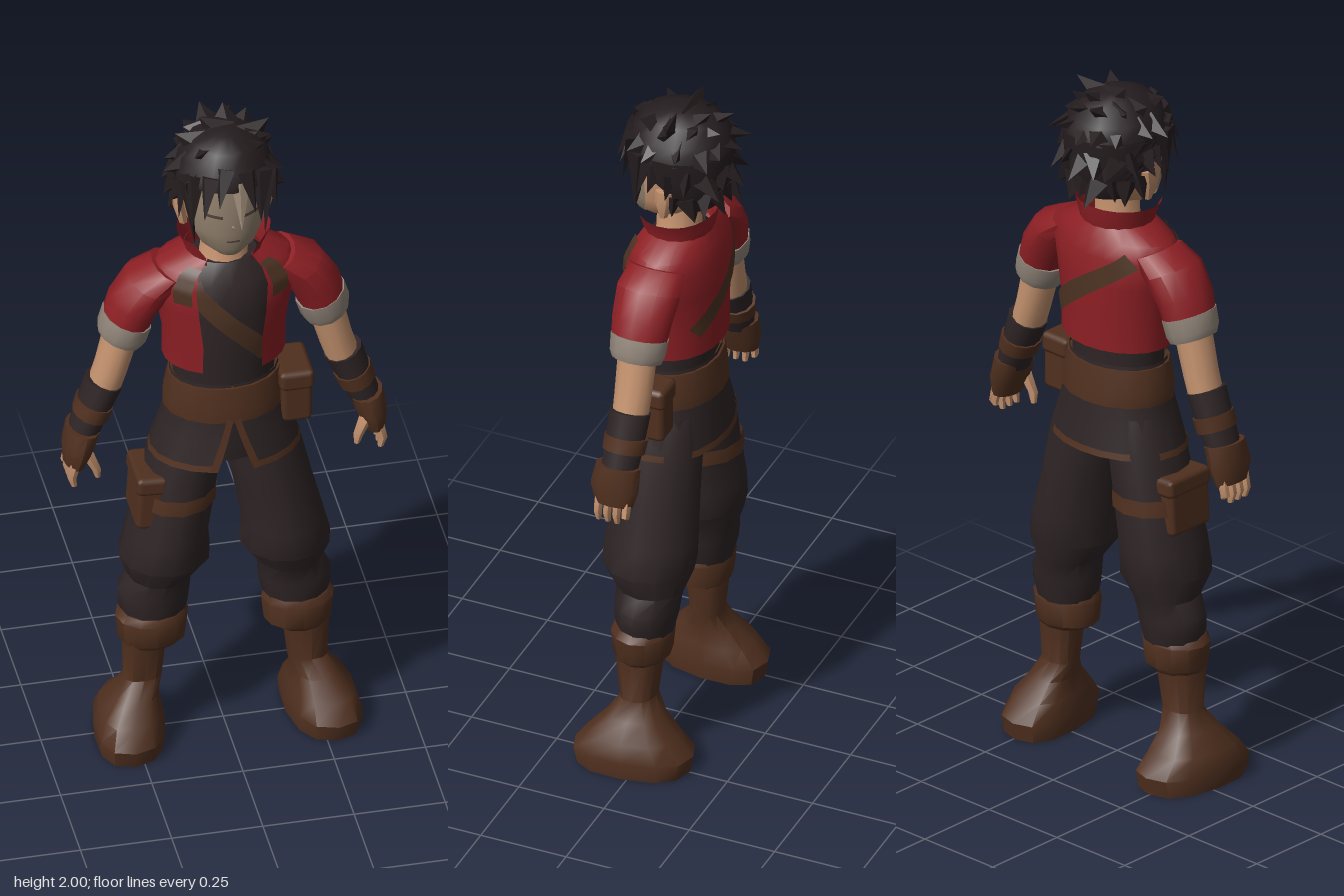
import * as THREE from 'three';
import { toCreasedNormals } from 'three/addons/utils/BufferGeometryUtils.js';
import { RoundedBoxGeometry } from 'three/addons/geometries/RoundedBoxGeometry.js';

const mat = (name, color) => {
  const m = new THREE.MeshStandardMaterial({ color, side: THREE.DoubleSide });
  m.name = name;
  return m;
};
const red = mat('redCloth', 0x8c1f24), dark = mat('darkCloth', 0x2e2425), brown = mat('brownLeather', 0x50301f);
const skin = mat('skin', 0xc4926e), cloth = mat('paleCuff', 0x93877b), faceTone = mat('faceTone', 0x94826f);
const hairTone = mat('hair', 0x251d1f), strapTone = mat('strap', 0x4c3222), ink = mat('faceLines', 0x54443d);

export function createModel() {
  const root = new THREE.Group();
  root.name = 'adventurer';

  const add = (name, geo, material) => {
    const m = new THREE.Mesh(geo, material);
    m.name = name;
    root.add(m);
    return m;
  };
  const surface = (pos, idx, crease = 0.7) => {
    const g = new THREE.BufferGeometry();
    g.setAttribute('position', new THREE.Float32BufferAttribute(pos, 3));
    g.setIndex(idx);
    return toCreasedNormals(g, crease);
  };

  // Skin over rings [x, y, z, rx, rz, halfGap], bottom to top; the gap faces the front
  const loft = (name, rings, material, o = {}) => {
    const { n = 12, tilt = 0, turn = 0, pow = 1, skew = 0 } = o;
    const soft = v => Math.sign(v) * Math.abs(v) ** pow;
    const pos = [], idx = [], w = n + 1;
    rings.forEach(([x, y, z, rx, rz, gap = 0]) => {
      for (let j = 0; j <= n; j++) {
        const a = turn + gap + (2 * Math.PI - 2 * gap) * (j % n === 0 && !gap ? 0 : j / n);
        const u = rx * soft(Math.sin(a)), v = rz * soft(Math.cos(a));
        pos.push(x + u * Math.cos(tilt) + skew * v, y + u * Math.sin(tilt), z + v);
      }
    });
    for (let i = 0; i < rings.length - 1; i++) for (let j = 0; j < n; j++) {
      const a = i * w + j, c = a + w;
      idx.push(a, a + 1, c + 1, a, c + 1, c);
    }
    if (!rings[0][5] && !o.open) {
      [0, rings.length - 1].forEach((r, top) => {
        const k = pos.length / 3;
        pos.push(...rings[r].slice(0, 3));
        for (let j = 0; j < n; j++) {
          const a = r * w + j;
          idx.push(k, top ? a : a + 1, top ? a + 1 : a);
        }
      });
    }
    return add(name, surface(pos, idx), material);
  };
  // Mirrors limb rings to side s
  const side = (s, rings) => rings.map(([x, ...rest]) => [x * s, ...rest]);

  // Point just outside a set of rings, at angle a and height y
  const onRings = (rings, a, y, off) => {
    let i = 0;
    while (i < rings.length - 2 && rings[i + 1][1] < y) i++;
    const p = rings[i], q = rings[i + 1], t = (y - p[1]) / (q[1] - p[1]);
    const [, , z, rx, rz] = p.map((v, k) => v + (q[k] - v) * t);
    return [Math.sin(a) * (rx + off), y, z + Math.cos(a) * (rz + off)];
  };
  const ribbon = (name, rings, [a0, y0], [a1, y1], half, material, off = 0.008) => {
    const pos = [], idx = [], n = 10, r = 0.15;
    const len = Math.hypot((a1 - a0) * r, y1 - y0);
    const da = -(y1 - y0) / len * half / r, dy = (a1 - a0) * r / len * half;
    for (let i = 0; i <= n; i++) {
      const a = a0 + (a1 - a0) * i / n, y = y0 + (y1 - y0) * i / n;
      pos.push(...onRings(rings, a - da, y - dy, off), ...onRings(rings, a + da, y + dy, off));
      if (i < n) idx.push(2 * i, 2 * i + 2, 2 * i + 3, 2 * i, 2 * i + 3, 2 * i + 1);
    }
    return add(name, surface(pos, idx), material);
  };
  // Flattened pointed lock from base to tip
  const spike = (name, base, tip, width, material = hairTone, flat = 0.6) => {
    const a = new THREE.Vector3(...base), b = new THREE.Vector3(...tip), d = b.clone().sub(a);
    const g = new THREE.ConeGeometry(width, d.length(), 4).toNonIndexed();
    g.computeVertexNormals();
    const m = add(name, g, material);
    m.scale.z = flat;
    m.position.copy(a).add(b).multiplyScalar(0.5);
    m.quaternion.setFromUnitVectors(new THREE.Vector3(0, 1, 0), d.normalize());
    return m;
  };
  const box = (name, size, at, material, r = 0.015) => {
    const m = add(name, new RoundedBoxGeometry(...size, 1, r), material);
    m.position.set(...at);
    return m;
  };

  // Torso
  const shirt = [[0, 1.1, 0.005, 0.14, 0.105], [0, 1.25, 0.005, 0.14, 0.105], [0, 1.42, 0.005, 0.155, 0.118],
    [0, 1.52, 0.005, 0.15, 0.105], [0, 1.575, 0, 0.09, 0.07]];
  loft('undershirt', shirt, dark, { n: 16 });
  ribbon('chestStrap', shirt, [-0.75, 1.52], [0.7, 1.28], 0.027, strapTone);
  const jacket = [[0, 1.25, 0.003, 0.168, 0.13, 0.5], [0, 1.34, 0.005, 0.168, 0.132, 0.5], [0, 1.44, 0.005, 0.185, 0.135, 0.52],
    [0, 1.52, 0.002, 0.205, 0.125, 0.5], [0, 1.565, 0, 0.18, 0.108, 0.5], [0, 1.6, 0, 0.105, 0.09, 0.6]];
  loft('jacket', jacket, red, { n: 18 });
  loft('collar', [[0, 1.575, 0, 0.105, 0.088, 0.6], [0, 1.61, 0.002, 0.108, 0.1, 0.65], [0, 1.655, 0.004, 0.128, 0.108, 0.85]], red, { n: 14 });
  ribbon('backStrap', jacket, [Math.PI - 0.75, 1.33], [Math.PI + 0.75, 1.53], 0.024, strapTone);
  for (const s of [-1, 1]) ribbon('shoulderStrap', jacket, [s * 0.72, 1.48], [s * 0.66, 1.58], 0.022, strapTone);

  // Skirt of the tunic with a front slit, leather edging and belt
  const skirt = [[0, 0.945, 0.01, 0.205, 0.15, 0.27], [0, 1.03, 0.008, 0.18, 0.135, 0.15],
    [0, 1.11, 0.005, 0.158, 0.122, 0.02], [0, 1.2, 0.005, 0.147, 0.112, 0.02]];
  loft('tunicSkirt', skirt, dark, { n: 18 });
  loft('hemTrim', [[0, 0.942, 0.01, 0.209, 0.154, 0.27], [0, 0.96, 0.01, 0.204, 0.15, 0.25]], brown, { n: 18 });
  for (const s of [-1, 1]) ribbon('slitTrim', skirt, [s * 0.29, 0.945], [s * 0.05, 1.1], 0.008, brown, 0.005);
  loft('belt', [[0, 1.085, 0.005, 0.168, 0.132], [0, 1.12, 0.005, 0.168, 0.13], [0, 1.19, 0.005, 0.154, 0.12]], brown, { n: 16 });
  box('hipPouch', [0.085, 0.15, 0.14], [0.185, 1.1, 0.02], brown);
  box('hipPouchFlap', [0.095, 0.06, 0.15], [0.185, 1.16, 0.02], brown);
  loft('hips', [[0, 0.94, 0.005, 0.15, 0.105], [0, 1.12, 0.005, 0.15, 0.11]], dark);

  // Legs, boots and arms
  for (const s of [-1, 1]) {
    loft('trouserLeg', side(s, [[0.195, 0.37, 0.012, 0.075, 0.07], [0.195, 0.44, 0.01, 0.097, 0.085], [0.192, 0.48, 0.008, 0.1, 0.088],
      [0.178, 0.53, 0.006, 0.088, 0.095], [0.165, 0.6, 0.015, 0.125, 0.13], [0.158, 0.68, 0.012, 0.112, 0.13],
      [0.133, 0.8, 0.008, 0.107, 0.12], [0.105, 0.95, 0.005, 0.1, 0.115], [0.09, 1.05, 0.005, 0.08, 0.1]]), dark);
    loft('boot', side(s, [[0.262, 0, 0.016, 0.094, 0.155], [0.262, 0.05, 0.017, 0.098, 0.165], [0.26, 0.1, 0.02, 0.085, 0.125],
      [0.245, 0.15, 0.02, 0.062, 0.078], [0.225, 0.2, 0.018, 0.054, 0.046], [0.22, 0.33, 0.018, 0.062, 0.062]]),
      brown, { pow: 0.8, skew: 0.1 * s });
    loft('bootCuff', side(s, [[0.205, 0.315, 0.018, 0.075, 0.066], [0.2, 0.33, 0.018, 0.093, 0.078],
      [0.2, 0.4, 0.018, 0.1, 0.085], [0.197, 0.42, 0.018, 0.088, 0.076]]), brown);

    loft('sleeve', side(s, [[0.275, 1.36, 0, 0.066, 0.076], [0.252, 1.43, 0, 0.068, 0.085],
      [0.205, 1.5, 0, 0.068, 0.092], [0.15, 1.54, 0, 0.05, 0.08]]), red, { tilt: 0.45 * s });
    loft('sleeveCuff', side(s, [[0.283, 1.325, 0, 0.063, 0.07], [0.278, 1.345, 0, 0.071, 0.078], [0.264, 1.39, 0, 0.071, 0.082]]), cloth, { tilt: 0.36 * s });
    loft('forearm', side(s, [[0.33, 1.16, 0, 0.045, 0.05], [0.308, 1.23, 0, 0.046, 0.052], [0.277, 1.35, 0, 0.05, 0.055]]), skin, { tilt: 0.35 * s });
    loft('bracer', side(s, [[0.386, 1.03, 0.006, 0.042, 0.052], [0.36, 1.1, 0.002, 0.047, 0.055], [0.327, 1.185, 0, 0.054, 0.057]]), dark, { tilt: 0.35 * s });
    loft('bracerBand', side(s, [[0.366, 1.08, 0.002, 0.051, 0.06], [0.352, 1.12, 0, 0.053, 0.062]]), brown, { tilt: 0.35 * s });
    loft('glove', side(s, [[0.412, 0.935, 0.01, 0.03, 0.055], [0.403, 0.985, 0.012, 0.042, 0.07], [0.387, 1.045, 0.008, 0.047, 0.064]]), brown, { tilt: 0.2 * s });
    for (let f = 0; f < 4; f++) {
      const z = -0.03 + f * 0.027, low = f === 0 ? 0.9 : 0.88;
      loft('finger', side(s, [[0.42, low, z, 0.008, 0.008], [0.426, 0.91, z, 0.014, 0.012], [0.415, 0.955, z, 0.016, 0.013]]), skin, { n: 6 });
    }
    loft('thumb', side(s, [[0.355, 0.9, 0.05, 0.008, 0.009], [0.36, 0.93, 0.052, 0.014, 0.014], [0.385, 0.985, 0.045, 0.02, 0.02]]), skin, { n: 6 });
  }

  // Thigh holster on the right leg
  loft('thighStrap', [[-0.137, 0.79, 0.008, 0.116, 0.128], [-0.132, 0.835, 0.008, 0.113, 0.125]], brown, { open: true });
  box('thighPouch', [0.075, 0.16, 0.15], [-0.217, 0.81, 0.02], brown).rotation.z = -0.06;
  box('thighPouchFlap', [0.085, 0.055, 0.16], [-0.213, 0.87, 0.02], brown).rotation.z = -0.06;

  // Neck and head
  loft('neck', [[0, 1.54, 0.005, 0.085, 0.08], [0, 1.58, 0.002, 0.065, 0.062], [0, 1.68, 0, 0.06, 0.06]], skin);
  const head = [[0, 1.63, 0.065, 0.035, 0.042], [0, 1.66, 0.04, 0.078, 0.082], [0, 1.71, 0.015, 0.104, 0.112],
    [0, 1.78, 0.01, 0.116, 0.122], [0, 1.86, 0, 0.118, 0.125], [0, 1.93, 0, 0.08, 0.09]];
  loft('head', head, skin, { n: 16 });
  loft('face', head.slice(0, 5).map(([x, y, z, rx, rz]) => [x, y, z, rx + 0.003, rz + 0.003, 1.95]), faceTone, { n: 10, turn: Math.PI });
  spike('nose', [0, 1.735, 0.12], [0, 1.745, 0.147], 0.012, faceTone, 1);
  ribbon('mouth', head, [-0.18, 1.69], [0.18, 1.69], 0.003, ink, 0.006);
  for (const s of [-1, 1]) {
    ribbon('eye', head, [s * 0.25, 1.775], [s * 0.65, 1.78], 0.005, ink, 0.006);
    loft('ear', [[s * 0.11, 1.68, 0, 0.012, 0.012], [s * 0.12, 1.73, -0.005, 0.018, 0.026], [s * 0.122, 1.77, -0.008, 0.014, 0.026]], skin, { n: 6 });
  }

  // Hair cap, shaggy locks and fringe
  loft('hairBack', [[0, 1.69, -0.015, 0.09, 0.1, 1.95], [0, 1.75, -0.01, 0.125, 0.132, 1.8], [0, 1.81, -0.008, 0.136, 0.145, 1.25],
    [0, 1.87, -0.005, 0.137, 0.148, 0.7]], hairTone, { n: 14 });
  loft('hairTop', [[0, 1.86, -0.005, 0.137, 0.148], [0, 1.91, -0.005, 0.122, 0.135], [0, 1.95, -0.005, 0.085, 0.1], [0, 1.972, 0, 0.035, 0.04]], hairTone, { n: 14 });
  const rows = [[1.75, 0.11, 1.69, 0.14, 9, 1.75], [1.82, 0.115, 1.77, 0.163, 11, 1.3], [1.89, 0.1, 1.875, 0.165, 11, 0.9], [1.93, 0.07, 1.955, 0.125, 8, 0.9]];
  rows.forEach(([y, r, ty, tr, n, gap], k) => {
    for (let i = 0; i < n; i++) {
      const a = gap + (2 * Math.PI - 2 * gap) * i / (n - 1), t = a + 0.12 * Math.sin(i * 2.3 + k);
      const l = tr + 0.012 * Math.sin(i * 4.1 + k);
      spike('hairLock', [Math.sin(a) * r, y, Math.cos(a) * r * 1.05 - 0.01], [Math.sin(t) * l * 0.97, ty + 0.012 * Math.cos(i * 3), Math.cos(t) * l * 1.08 - 0.008], 0.042);
    }
  });
  spike('crownLock', [0.0, 1.94, -0.02], [-0.06, 2.0, -0.03], 0.05);
  spike('crownLock', [0.02, 1.94, -0.05], [0.02, 1.985, -0.1], 0.05);
  spike('crownLock', [0.06, 1.93, 0.0], [0.13, 1.975, -0.02], 0.05);
  const fringe = [[-0.115, 1.87, 0.06, -0.095, 1.66, 0.085], [-0.1, 1.89, 0.08, -0.11, 1.75, 0.12], [-0.06, 1.9, 0.11, -0.085, 1.79, 0.155],
    [0.04, 1.91, 0.115, 0.055, 1.8, 0.16], [0.08, 1.9, 0.1, 0.075, 1.75, 0.135], [0.11, 1.87, 0.07, 0.095, 1.67, 0.09],
    [-0.02, 1.92, 0.11, -0.045, 1.83, 0.165], [0.12, 1.86, 0.04, 0.13, 1.74, 0.07], [-0.12, 1.86, 0.04, -0.135, 1.74, 0.06]];
  fringe.forEach(([x, y, z, tx, ty, tz]) => spike('fringeLock', [x, y, z], [tx, ty, tz], 0.034));
  spike('paleFringeLock', [0.02, 1.88, 0.125], [0.015, 1.75, 0.17], 0.026, faceTone, 0.5);

  return root;
}
